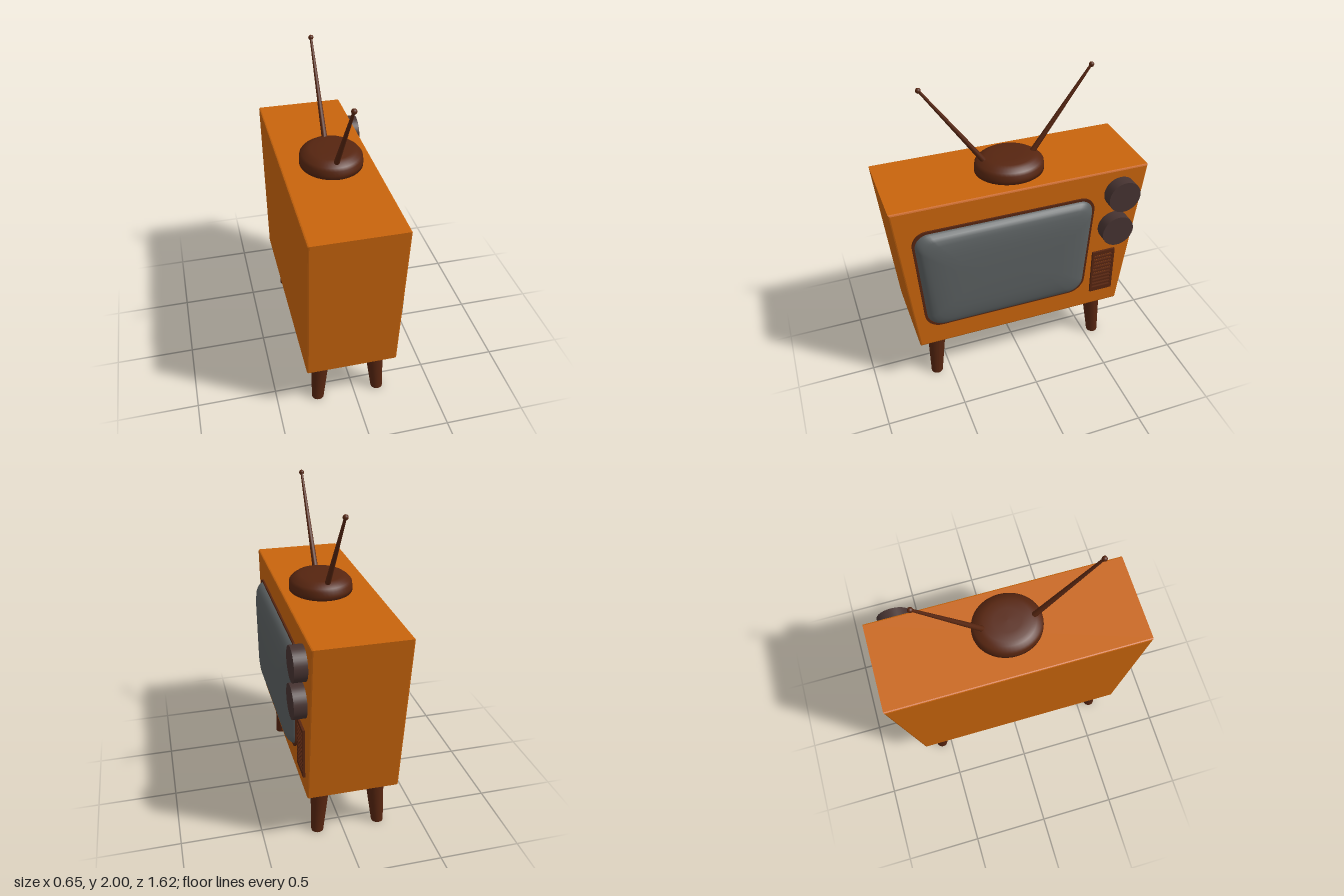
import * as THREE from 'three';

const mat = (color, extra = {}) => new THREE.MeshStandardMaterial({ color, ...extra });
const orange = mat(0xc8640c);
const brown = mat(0x562510);
const knobGrey = mat(0x463331);
const glass = mat(0x5a5f60);

// Polygon with corners rounded by r
function roundedPoly(corners, r, Type = THREE.Shape) {
  const pts = corners.map(([x, y]) => new THREE.Vector2(x, y));
  const shape = new Type();
  pts.forEach((p, i) => {
    const prev = pts[(i + pts.length - 1) % pts.length];
    const next = pts[(i + 1) % pts.length];
    const a = p.clone().add(prev.clone().sub(p).setLength(r));
    const b = p.clone().add(next.clone().sub(p).setLength(r));
    if (i === 0) shape.moveTo(a.x, a.y);
    else shape.lineTo(a.x, a.y);
    shape.bezierCurveTo(
      a.x + (p.x - a.x) * 0.55, a.y + (p.y - a.y) * 0.55,
      b.x + (p.x - b.x) * 0.55, b.y + (p.y - b.y) * 0.55, b.x, b.y);
  });
  shape.closePath();
  return shape;
}

const rect = (x0, y0, x1, y1) => [[x0, y0], [x1, y0], [x1, y1], [x0, y1]];

function polygon(corners, Type = THREE.Shape) {
  return new Type(corners.map(([x, y]) => new THREE.Vector2(x, y)));
}

function extrude(shape, z0, z1, bevel = 0) {
  const geo = new THREE.ExtrudeGeometry(shape, {
    depth: z1 - z0 - 2 * bevel, curveSegments: 8,
    bevelEnabled: bevel > 0, bevelSize: bevel, bevelThickness: bevel,
    bevelOffset: -bevel, bevelSegments: 2,
  });
  return geo.translate(0, 0, z0 + bevel);
}

// Bulging glass: shrinking copies of the outline, closed by a centre point
function bulge(outline, cx, cy, rings, zTop) {
  const n = outline.length;
  const pos = [], idx = [];
  for (const [inset, z] of rings) {
    for (const p of outline) {
      const dx = p.x - cx, dy = p.y - cy;
      pos.push(cx + dx * (1 - inset / 0.57), cy + dy * (1 - inset / 0.36), z);
    }
  }
  pos.push(cx, cy, zTop);
  for (let r = 0; r < rings.length; r++) {
    for (let i = 0; i < n; i++) {
      const j = (i + 1) % n, a = r * n + i, b = r * n + j;
      if (r === rings.length - 1) idx.push(a, b, rings.length * n);
      else idx.push(a, b, b + n, a, b + n, a + n);
    }
  }
  const geo = new THREE.BufferGeometry();
  geo.setAttribute('position', new THREE.Float32BufferAttribute(pos, 3));
  geo.setIndex(idx);
  geo.computeVertexNormals();
  return geo;
}

// Tapered rod between two points
function rod(from, to, r0, r1) {
  const dir = to.clone().sub(from);
  const geo = new THREE.CylinderGeometry(r1, r0, dir.length(), 12);
  geo.applyQuaternion(new THREE.Quaternion().setFromUnitVectors(
    new THREE.Vector3(0, 1, 0), dir.clone().normalize()));
  const mid = from.clone().add(to).multiplyScalar(0.5);
  return geo.translate(mid.x, mid.y, mid.z);
}

export function createModel() {
  const model = new THREE.Group();
  model.name = 'television';
  // Built with the screen towards +z, then turned to face +x
  const set = new THREE.Group();
  set.name = 'televisionSet';
  set.rotation.y = Math.PI / 2;
  model.add(set);
  const add = (name, geo, material) => {
    const mesh = new THREE.Mesh(geo, material);
    mesh.name = name;
    set.add(mesh);
    return mesh;
  };

  // Cabinet, narrower at the bottom
  const cabinet = polygon([[-0.703, 0.34], [0.68, 0.34], [0.812, 1.39], [-0.812, 1.39]]);
  add('cabinet', extrude(cabinet, -0.325, 0.245, 0.01), orange);

  // Screen surround and glass
  const outer = [[-0.652, 0.495], [0.418, 0.495], [0.466, 1.235], [-0.705, 1.235]];
  const inner = [[-0.638, 0.51], [0.404, 0.51], [0.451, 1.22], [-0.69, 1.22]];
  const surround = roundedPoly(outer, 0.1);
  surround.holes.push(roundedPoly(inner, 0.092, THREE.Path));
  add('screenSurround', extrude(surround, 0.235, 0.256), brown);
  const outline = roundedPoly(inner, 0.092).getPoints(10);
  outline.pop();
  add('screen', bulge(outline, -0.118, 0.865, [
    [0, 0.235], [0, 0.252], [0.008, 0.27], [0.022, 0.285], [0.04, 0.297],
    [0.07, 0.306], [0.11, 0.313], [0.16, 0.318], [0.24, 0.321],
  ], 0.322), glass);

  // Dials
  [[0.63, 1.23], [0.605, 0.98]].forEach(([x, y], i) => {
    const geo = new THREE.CylinderGeometry(0.105, 0.105, 0.085, 40);
    geo.rotateX(Math.PI / 2).translate(x, y, 0.2795);
    add(i ? 'lowerDial' : 'upperDial', geo, knobGrey);
  });

  // Speaker grille with ten slots
  const grille = polygon(rect(0.474, 0.46, 0.632, 0.79));
  for (let i = 0; i < 10; i++) {
    const y = 0.493 + i * 0.0283;
    grille.holes.push(polygon(rect(0.487, y, 0.618, y + 0.014), THREE.Path));
  }
  add('speakerGrille', extrude(grille, 0.24, 0.259), brown);

  // Splayed legs: tapered cylinders sheared outwards towards the floor
  for (const sx of [-1, 1]) {
    for (const sz of [-1, 1]) {
      const geo = new THREE.CylinderGeometry(0.061, 0.038, 0.35, 24).translate(0, 0.175, 0);
      const p = geo.attributes.position;
      for (let i = 0; i < p.count; i++) {
        const t = p.getY(i) / 0.35;
        p.setX(i, p.getX(i) - 0.0125 + sx * (0.58 - 0.023 * t));
        p.setZ(i, p.getZ(i) - 0.04 + sz * (0.197 - 0.025 * t));
      }
      geo.computeVertexNormals();
      add((sz > 0 ? 'front' : 'back') + (sx > 0 ? 'Right' : 'Left') + 'Leg', geo, brown);
    }
  }

  // Aerial base, slightly oval
  const profile = [[0, 0], [1, 0], [1, 0.025], [0.985, 0.055], [0.92, 0.071], [0.8, 0.088],
    [0.67, 0.098], [0.4, 0.102], [0, 0.103]].map(([r, y]) => new THREE.Vector2(r, y));
  const base = new THREE.LatheGeometry(profile, 48).scale(0.216, 1, 0.195);
  add('aerialBase', base.translate(-0.008, 1.388, -0.008), brown);

  // Rabbit-ear aerials with small tips
  for (const s of [-1, 1]) {
    const name = s > 0 ? 'rightAerial' : 'leftAerial';
    const foot = new THREE.Vector3(-0.0125 + s * 0.15, 1.465, -0.013);
    const tip = new THREE.Vector3(-0.0125 + s * 0.518, 1.985, -0.013);
    add(name, rod(foot, tip, 0.018, 0.008), brown);
    const ball = new THREE.SphereGeometry(0.016, 14, 10).translate(tip.x, tip.y - 0.001, tip.z);
    add(name + 'Tip', ball, brown);
  }
  return model;
}
